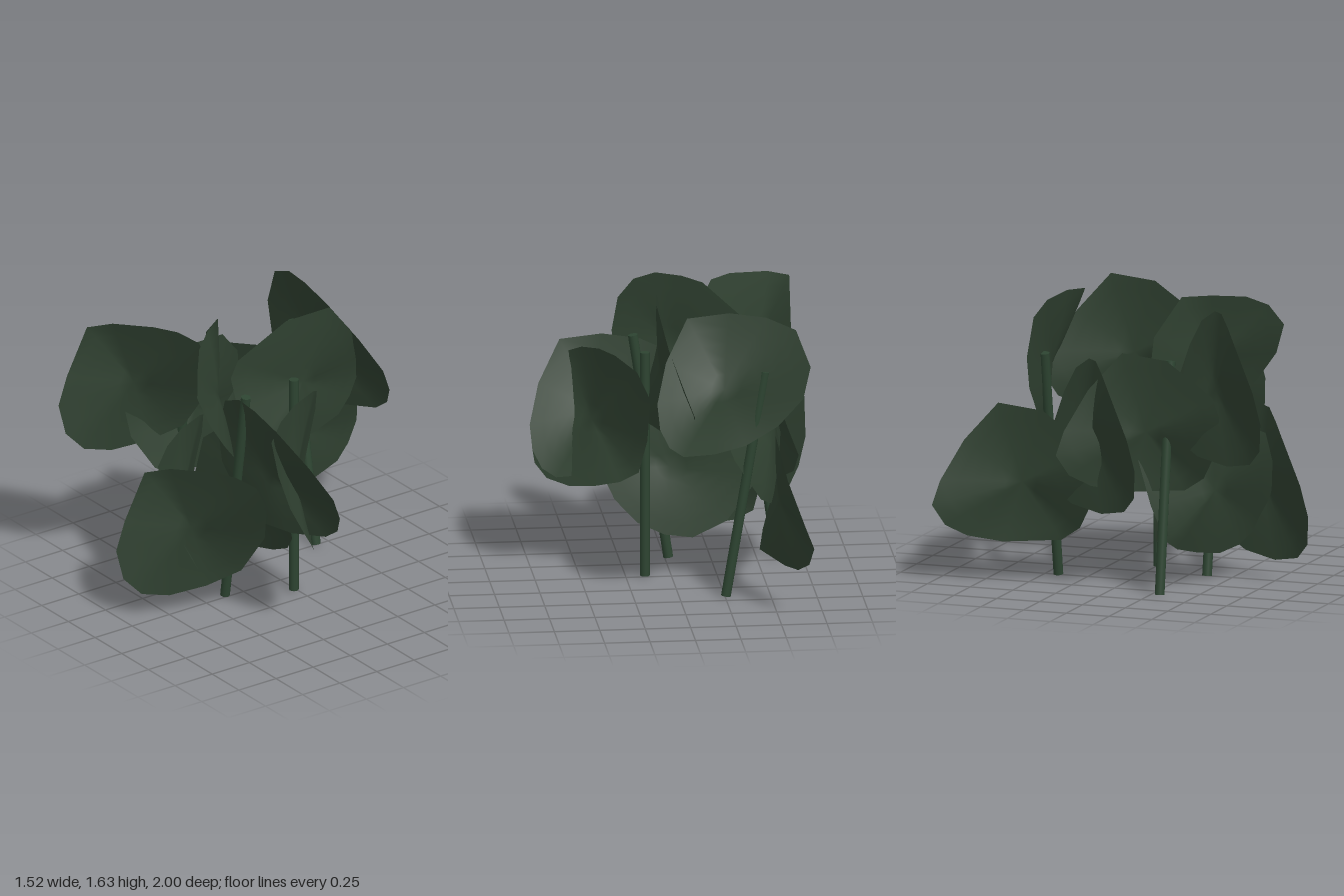
import * as THREE from 'three';

const leafMat = new THREE.MeshStandardMaterial({ color: 0x2f4030, side: THREE.DoubleSide });
leafMat.name = 'dark leaf green';
const stemMat = new THREE.MeshStandardMaterial({ color: 0x2d4431 });
stemMat.name = 'stem green';

// Twisted leaf rims [x, y, z], each with the x and z direction its middle bulges to
const rims = {
  back: { bulge: [1, 0], rim: [
    [0.11, 1.63, -0.25], [0.08, 1.61, 0.02], [0.05, 1.5, 0.2], [0.03, 1.43, 0.31], [0.02, 1.33, 0.35],
    [0.06, 1.15, 0.33], [0.13, 0.96, 0.22], [0.16, 0.88, 0.1], [0.05, 0.87, -0.2], [0, 0.9, -0.39],
    [-0.05, 0.96, -0.5], [-0.07, 1.07, -0.57], [-0.02, 1.2, -0.54], [0.06, 1.42, -0.43]] },
  front: { bulge: [-0.75, -0.66], rim: [
    [-0.73, 1.47, 0.78], [-0.75, 1.2, 0.9], [-0.76, 1.03, 0.95], [-0.72, 0.87, 0.93], [-0.66, 0.78, 0.85],
    [-0.61, 0.75, 0.7], [-0.54, 0.78, 0.5], [-0.45, 0.86, 0.33], [-0.3, 1.1, 0.28], [-0.21, 1.33, 0.33],
    [-0.21, 1.47, 0.4], [-0.27, 1.54, 0.5], [-0.38, 1.55, 0.58], [-0.6, 1.52, 0.7]] },
  right: { bulge: [0.2, 0.98], rim: [
    [-0.05, 1.57, -0.34], [0.08, 1.36, -0.47], [0.14, 1.16, -0.59], [0.13, 1.03, -0.64], [0.08, 0.93, -0.66],
    [0, 0.87, -0.64], [-0.18, 0.85, -0.54], [-0.36, 0.87, -0.46], [-0.54, 0.97, -0.44], [-0.68, 1.12, -0.43],
    [-0.72, 1.3, -0.43], [-0.64, 1.51, -0.42], [-0.48, 1.58, -0.4], [-0.28, 1.6, -0.36]] },
  left: { bulge: [0.36, -0.93], rim: [
    [-0.2, 1.59, 0.28], [-0.1, 1.59, 0.42], [0.03, 1.57, 0.57], [0.14, 1.51, 0.66], [0.22, 1.39, 0.72],
    [0.26, 1.22, 0.66], [0.24, 1.06, 0.55], [0.17, 0.94, 0.44], [0.05, 0.87, 0.35], [-0.1, 0.84, 0.29],
    [-0.3, 0.91, 0.24], [-0.48, 1.13, 0.19], [-0.42, 1.4, 0.2]] },
  inner: { bulge: [-0.53, 0.85], rim: [
    [0.31, 1.27, 0], [0.38, 1.26, 0.18], [0.46, 1.23, 0.33], [0.54, 1.17, 0.45], [0.62, 1, 0.46],
    [0.69, 0.82, 0.43], [0.73, 0.66, 0.36], [0.72, 0.58, 0.31], [0.66, 0.51, 0.25], [0.54, 0.48, 0.18],
    [0.42, 0.5, 0.1], [0.28, 0.54, 0.03], [0.18, 0.6, 0], [0.14, 0.8, -0.07], [0.13, 1.05, -0.14],
    [0.2, 1.2, -0.1]] },
};

// Rings shrinking from the rim to a softly bulging middle
function leafGeometry({ rim, bulge }) {
  const pts = rim.map((p) => new THREE.Vector3(...p));
  const mid = pts.reduce((a, p) => a.add(p), new THREE.Vector3()).divideScalar(pts.length);
  const push = new THREE.Vector3(bulge[0], 0, bulge[1]).setLength(0.03);
  const n = pts.length, rings = 5, pos = [], index = [];
  for (let r = 1; r <= rings; r++) {
    const t = r / rings;
    for (const p of pts) {
      const q = mid.clone().lerp(p, t).addScaledVector(push, 1 - t * t);
      pos.push(q.x, q.y, q.z);
    }
  }
  const c = mid.add(push);
  pos.push(c.x, c.y, c.z);
  for (let i = 0; i < n; i++) {
    const j = (i + 1) % n;
    index.push(rings * n, i, j);
    for (let r = 0; r < rings - 1; r++) {
      const a = r * n + i, b = r * n + j;
      index.push(a, a + n, b + n, a, b + n, b);
    }
  }
  const g = new THREE.BufferGeometry();
  g.setAttribute('position', new THREE.Float32BufferAttribute(pos, 3));
  g.setIndex(index);
  g.computeVertexNormals();
  return g;
}

export function createModel() {
  const model = new THREE.Group();
  model.name = 'leafyPlant';

  const addStem = (name, x0, x1, z) => {
    const a = new THREE.Vector3(x0, 0.008, z), b = new THREE.Vector3(x1, 1.28, z);
    const dir = b.clone().sub(a);
    const stem = new THREE.Mesh(new THREE.CylinderGeometry(0.027, 0.027, dir.length(), 12), stemMat);
    stem.name = name;
    stem.position.copy(a).add(b).multiplyScalar(0.5);
    stem.quaternion.setFromUnitVectors(new THREE.Vector3(0, 1, 0), dir.normalize());
    model.add(stem);
  };
  addStem('rightStem', -0.61, -0.44, 0.305);
  addStem('middleStem', 0.145, 0.145, 0.015);
  addStem('frontStem', -0.02, 0.175, 0.36);
  addStem('backStem', -0.255, -0.47, -0.42);

  const shapes = {};
  for (const key in rims) shapes[key] = leafGeometry(rims[key]);
  const addLeaf = (type, name, x = 0, y = 0, z = 0) => {
    const leaf = new THREE.Mesh(shapes[type], leafMat);
    leaf.name = name;
    leaf.position.set(x, y, z);
    model.add(leaf);
    return leaf;
  };

  // Three leaves climb each stem
  addLeaf('inner', 'rightStemLowLeaf', -0.66, -0.32, 0.29);
  addLeaf('back', 'rightStemMidLeaf', -0.6, -0.315, 0.29);
  addLeaf('front', 'rightStemHighLeaf');

  addLeaf('inner', 'middleStemMidLeaf');
  addLeaf('back', 'middleStemHighLeaf');

  addLeaf('front', 'frontStemLowLeaf', 0.61, -0.63, 0.05);
  addLeaf('right', 'frontStemMidLeaf', 0.62, -0.325, 0.78);
  addLeaf('left', 'frontStemHighLeaf');

  addLeaf('back', 'backStemLowLeaf', -0.61, -0.64, -0.43);
  addLeaf('front', 'backStemMidLeaf', 0, -0.315, -0.735);
  addLeaf('right', 'backStemHighLeaf');

  // Low middle leaf, turned about its stem
  const turn = THREE.MathUtils.degToRad(33);
  const low = addLeaf('left', 'middleStemLowLeaf');
  low.rotation.y = turn;
  const pivot = new THREE.Vector3(0.18, 0, 0.36).applyAxisAngle(new THREE.Vector3(0, 1, 0), turn);
  low.position.set(0.145 - pivot.x, -0.65, 0.01 - pivot.z);

  return model;
}
